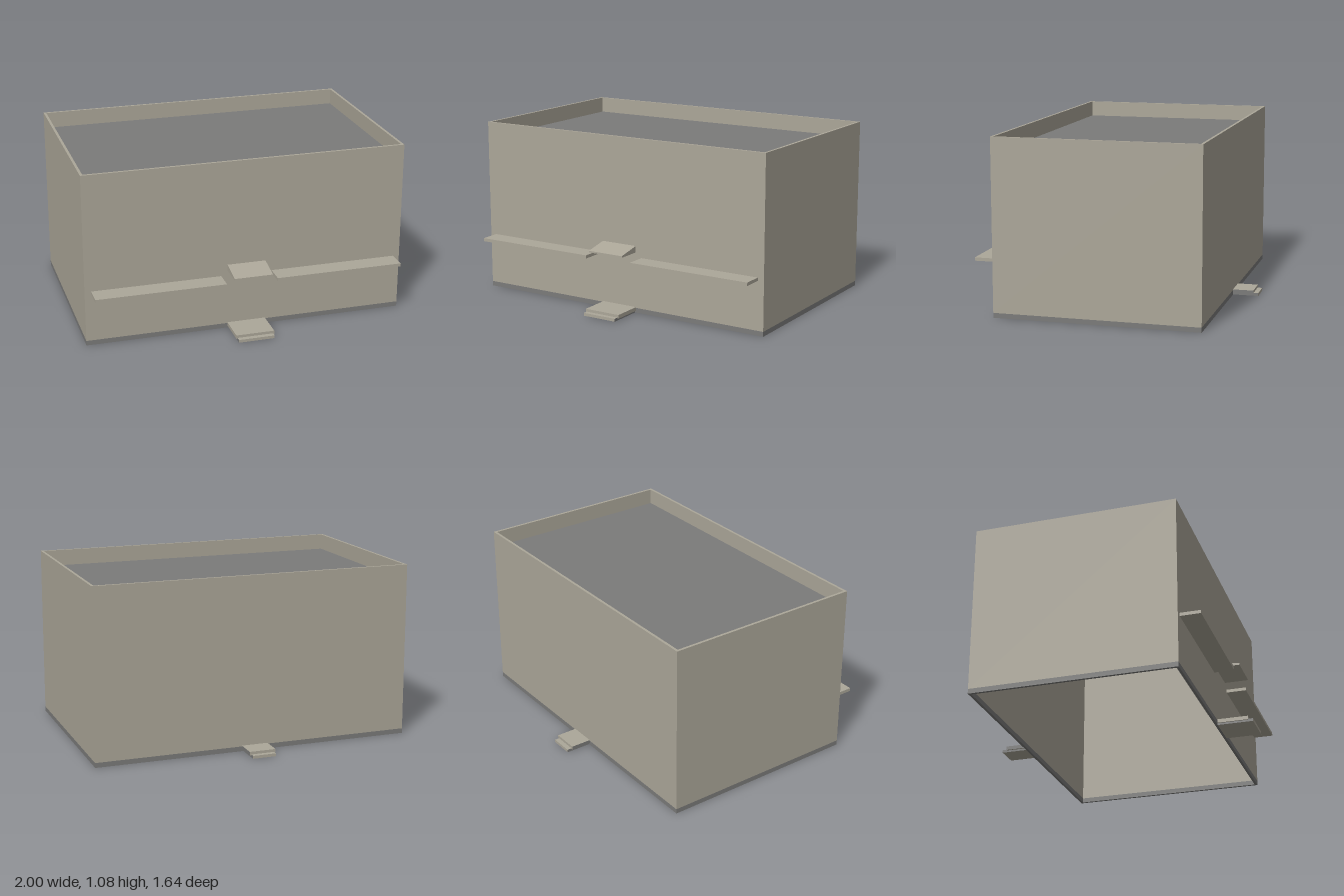
import * as THREE from 'three';

const SIDE = THREE.DoubleSide;

export function createModel() {
  const model = new THREE.Group();
  model.name = 'building';
  const beige = new THREE.MeshStandardMaterial({ name: 'beige plaster', color: 0xaca799, side: SIDE });
  const grey = new THREE.MeshStandardMaterial({ name: 'grey concrete', color: 0x7b7b7a, side: SIDE });

  const front = 0.6, back = -0.66, top = 1.08, plinth = 0.03, wall = 0.016;

  function add(name, geometry, material) {
    const mesh = new THREE.Mesh(geometry, material);
    mesh.name = name;
    model.add(mesh);
    return mesh;
  }

  // Box given by its limits on each axis
  function block(x0, x1, y0, y1, z0, z1) {
    return new THREE.BoxGeometry(x1 - x0, y1 - y0, z1 - z0)
      .translate((x0 + x1) / 2, (y0 + y1) / 2, (z0 + z1) / 2);
  }

  // Box without its rear face, so it opens into the wall behind it
  function openBlock(...limits) {
    const geometry = block(...limits);
    geometry.setIndex(Array.from(geometry.index.array).slice(0, 30));
    geometry.clearGroups();
    return geometry;
  }

  function rectangle(Type, x0, x1, y0, y1) {
    return new Type([[x0, y0], [x1, y0], [x1, y1], [x0, y1]].map(([x, y]) => new THREE.Vector2(x, y)));
  }

  // Side and back walls, with the grey plinth below them
  for (const [part, y0, y1, material] of [['Plinth', 0, plinth, grey], ['Wall', plinth, top, beige]]) {
    add('left' + part, block(1 - wall, 1, y0, y1, back, front), material);
    add('right' + part, block(-1, wall - 1, y0, y1, back, front), material);
    add('back' + part, block(wall - 1, 1 - wall, y0, y1, back, back + wall), material);
  }
  add('frontPlinth', block(wall - 1, 1 - wall, 0, plinth, front - wall, front), grey);

  // Front wall with slots behind the ledges and the canopy
  const face = rectangle(THREE.Shape, wall - 1, 1 - wall, plinth, top);
  for (const [x0, x1, y0, y1] of [[-0.96, -0.16, 0.33, 0.35], [0.16, 0.96, 0.33, 0.35], [-0.12, 0.12, 0.38, 0.42]]) {
    face.holes.push(rectangle(THREE.Path, x0, x1, y0, y1));
  }
  add('frontWall', new THREE.ExtrudeGeometry(face, { depth: wall, bevelEnabled: false })
    .translate(0, 0, front - wall), beige);

  // Flat roof sunk behind the parapet
  add('roof', block(wall - 1, 1 - wall, 0.97, 0.98, back + wall, front - wall), grey);

  // Two long ledges across the front
  add('leftLedge', openBlock(0.16, 0.96, 0.33, 0.35, front, 0.725), beige);
  add('rightLedge', openBlock(-0.96, -0.16, 0.33, 0.35, front, 0.725), beige);

  // Canopy sloping down to its front edge
  const canopy = openBlock(-0.12, 0.12, 0.38, 0.42, front, 0.75);
  const p = canopy.attributes.position;
  for (let i = 0; i < p.count; i++) {
    if (p.getZ(i) > 0.7 && p.getY(i) > 0.4) p.setY(i, 0.39);
  }
  canopy.computeVertexNormals();
  add('canopy', canopy, beige);

  // Doorsteps: an upper slab on a slightly longer lower slab
  const greySides = [grey, grey, beige, beige, beige, beige];
  add('frontUpperStep', block(-0.12, 0.12, 0.012, 0.035, front, 0.79), beige);
  add('frontLowerStep', block(-0.113, 0.113, 0, 0.018, front, 0.82), greySides);
  add('backUpperStep', block(-0.083, 0.083, 0.012, 0.035, -0.79, back), greySides);
  add('backLowerStep', block(-0.073, 0.073, 0, 0.018, -0.82, back), greySides);

  return model;
}
